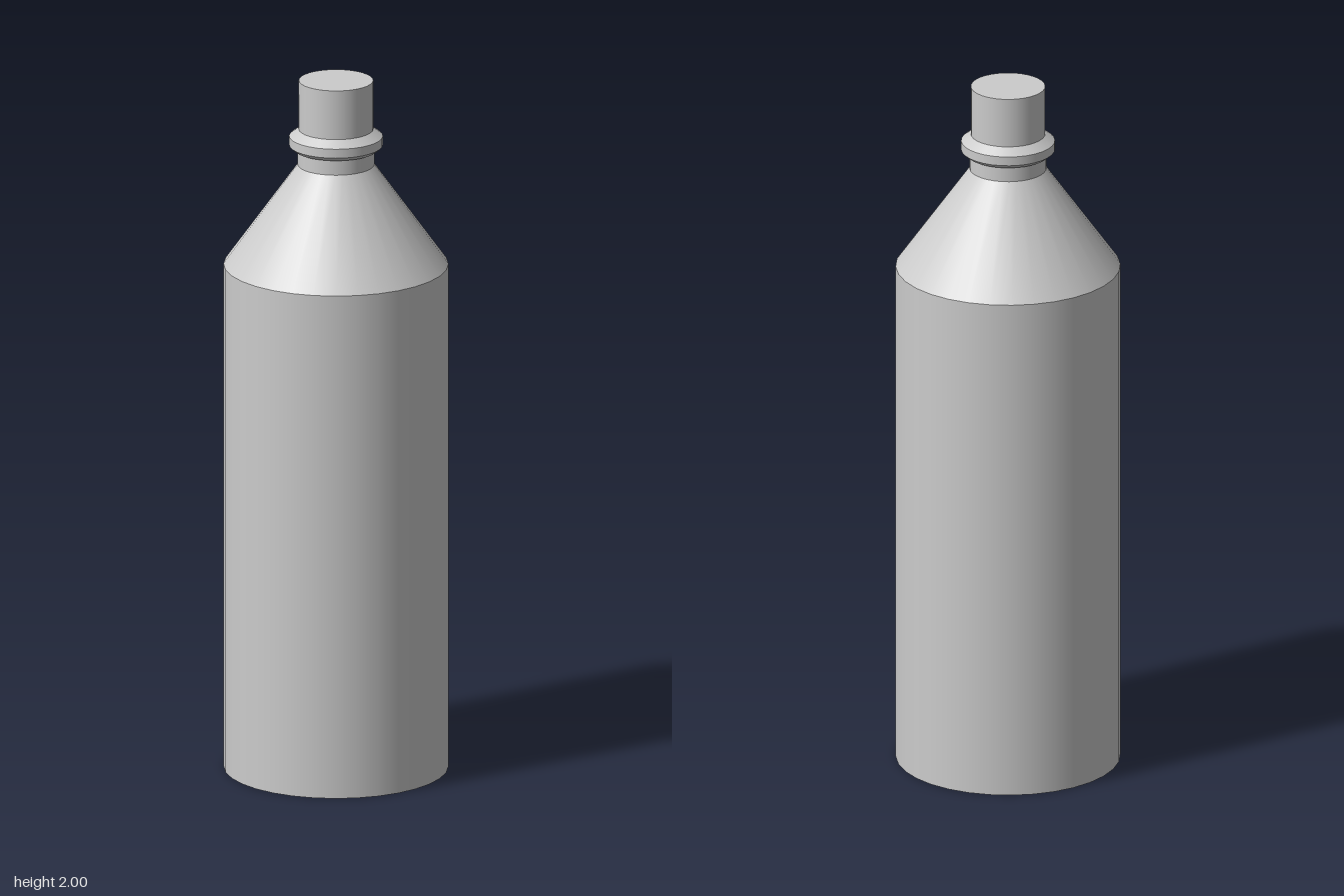
import * as THREE from 'three';

const SIDES = 32;

export function createModel() {
  const model = new THREE.Group();
  model.name = 'bottle';
  const material = new THREE.MeshStandardMaterial({ color: 0xcccccc });

  // One straight-sided band between two heights; separate bands keep the edges sharp.
  function band(name, y0, r0, y1, r1, open = true) {
    const geometry = new THREE.CylinderGeometry(r1, r0, y1 - y0, SIDES, 1, open);
    const mesh = new THREE.Mesh(geometry, material);
    mesh.name = name;
    mesh.position.y = (y0 + y1) / 2;
    model.add(mesh);
  }

  // Flat disc closing a band, facing up or down.
  function disc(name, y, r, up) {
    const geometry = new THREE.CircleGeometry(r, SIDES, Math.PI / 2);
    geometry.rotateX(up ? -Math.PI / 2 : Math.PI / 2);
    const mesh = new THREE.Mesh(geometry, material);
    mesh.name = name;
    mesh.position.y = y;
    model.add(mesh);
  }

  // Body and shoulder
  disc('base', 0, 0.314, false);
  band('body', 0, 0.314, 1.465, 0.314);
  band('shoulder', 1.465, 0.314, 1.755, 0.107);

  // Neck below the collar
  band('neck', 1.755, 0.107, 1.8, 0.107);

  // Collar with chamfered edges
  disc('collarUnderside', 1.8, 0.117, false);
  band('collarLowerChamfer', 1.8, 0.117, 1.812, 0.131);
  band('collarRim', 1.812, 0.131, 1.838, 0.131);
  band('collarUpperChamfer', 1.838, 0.131, 1.858, 0.104);

  // Cap
  band('cap', 1.858, 0.104, 2, 0.104);
  disc('capTop', 2, 0.104, true);

  return model;
}
